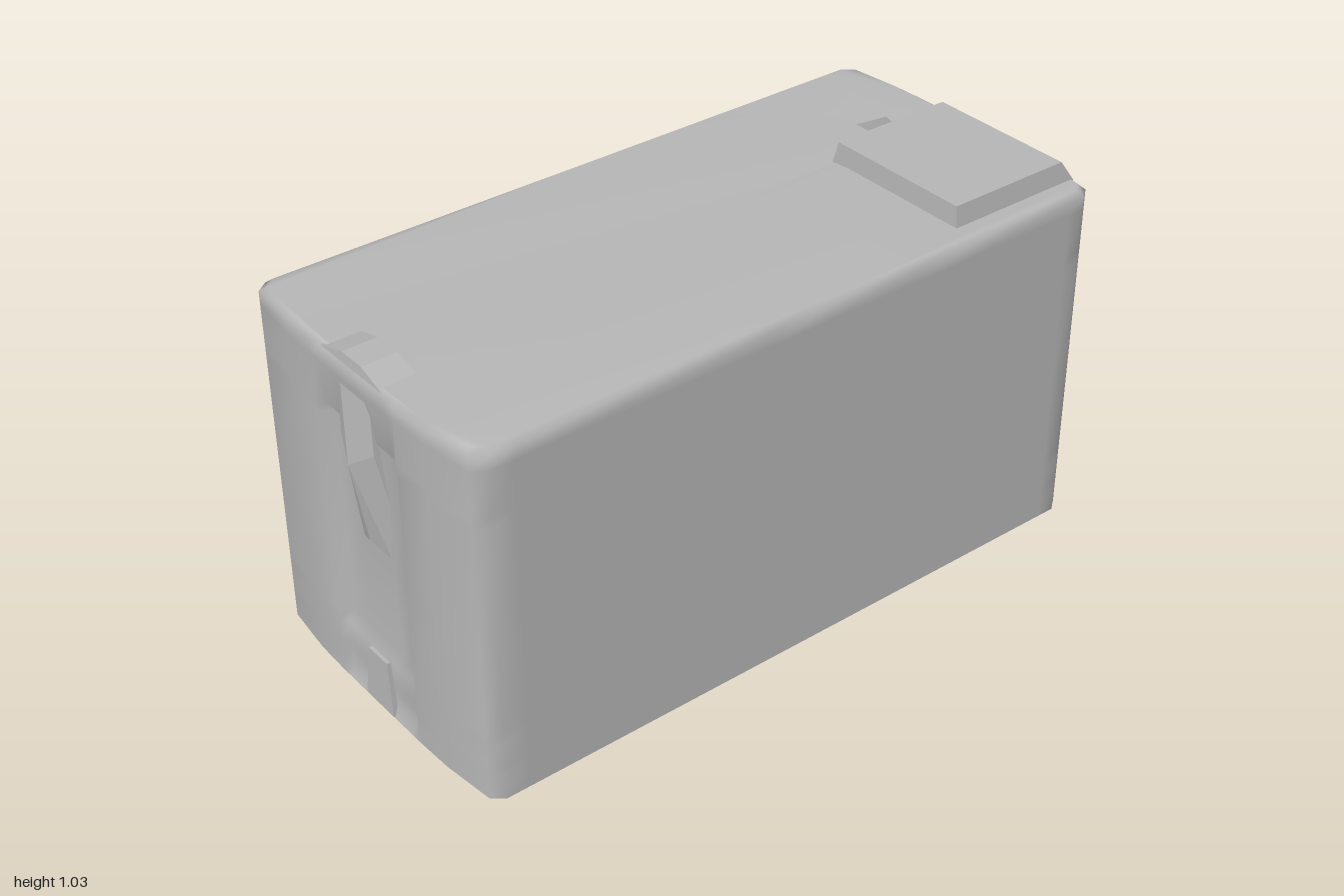
import * as THREE from 'three';
import { mergeVertices } from 'three/addons/utils/BufferGeometryUtils.js';
import { ConvexGeometry } from 'three/addons/geometries/ConvexGeometry.js';

const V = (x, y, z) => new THREE.Vector3(x, y, z);

// Convex solid mirrored or not from a few corner points
function solid(name, points, material) {
  const mesh = new THREE.Mesh(new ConvexGeometry(points.map(p => V(...p))), material);
  mesh.name = name;
  return mesh;
}

// Tapered block: bottom and top rectangles [x0, x1, z0, z1]
function taper(name, y0, b, y1, t, material) {
  const pts = [];
  for (const [y, r] of [[y0, b], [y1, t]])
    for (const x of [r[0], r[1]]) for (const z of [r[2], r[3]]) pts.push([x, y, z]);
  return solid(name, pts, material);
}

export function createModel() {
  const model = new THREE.Group();
  const grey = new THREE.MeshStandardMaterial({ color: 0xb8b8b8, side: THREE.DoubleSide });
  grey.name = 'plain grey';

  // Plan outline, running round the body: front, right wall, back, left wall
  const endXs = [0.43, 0.28, 0.17, 0.14, 0.07, 0, -0.07, -0.14, -0.17, -0.28, -0.43];
  const sideZs = [-0.87, -0.82, -0.45, -0.3, 0.02, 0.14, 0.85, 0.92];
  const endZ = x => 0.972 - 0.11 * Math.max(0, Math.abs(x) - 0.25);
  const plan = [
    ...endXs.map(x => [x, endZ(x), 1]),
    ...[...sideZs].reverse().map(z => [-0.455, z, 0]),
    ...[...endXs].reverse().map(x => [x, 0.05 - endZ(x), -1]),
    ...sideZs.map(z => [0.455, z, 0])
  ];
  const rows = [0.005, 0.04, 0.08, 0.105, 0.17, 0.2, 0.45, 0.78, 0.81, 0.93, 0.965];

  // Shallow sunken door in each end wall
  const relief = (x, y, end) => {
    if (!end || Math.abs(x) > 0.15) return 0;
    return y > 0.18 && y < 0.8 ? -0.03 * end : y > 0.9 || y < 0.02 ? 0 : -0.012 * end;
  };

  // Walls, with small slits low down on one side
  const pos = [], index = [], n = plan.length;
  for (const y of rows) for (const [x, z, end] of plan) pos.push(x, y, z + relief(x, y, end));
  for (let r = 0; r < rows.length - 1; r++) {
    for (let i = 0; i < n; i++) {
      const j = (i + 1) % n, zMid = (plan[i][1] + plan[j][1]) / 2;
      const slit = r === 2 && plan[i][0] < -0.45 && plan[j][0] < -0.45 &&
        ((zMid > -0.45 && zMid < -0.3) || (zMid > 0.02 && zMid < 0.14));
      if (slit) continue;
      const a = r * n + i, b = r * n + j, c = a + n, d = b + n;
      index.push(a, c, b, b, c, d);
    }
  }

  // Narrow bevel up to the roof edge
  const roofRing = plan.map(([x, z]) => [x * 0.96, 0.025 + (z - 0.025) * 0.985]);
  const top = (rows.length - 1) * n, ring = pos.length / 3;
  for (const [x, z] of roofRing) pos.push(x, 0.98, z);
  for (let i = 0; i < n; i++) {
    const j = (i + 1) % n;
    index.push(top + i, ring + i, top + j, top + j, ring + i, ring + j);
  }

  // Roof sheet with one small opening
  const hole = [[-0.16, -0.77], [-0.06, -0.75], [-0.06, -0.68], [-0.175, -0.68]];
  const holeStart = pos.length / 3;
  for (const [x, z] of hole) pos.push(x, 0.975, z);
  const to2 = p => new THREE.Vector2(p[0], -p[1]);
  const tris = THREE.ShapeUtils.triangulateShape(roofRing.map(to2), [hole.map(to2)]);
  const flat = [...roofRing, ...hole].map(to2);
  const vertex = k => (k < n ? ring + k : holeStart + k - n);
  for (const [a, b, c] of tris) {
    const area = flat[b].clone().sub(flat[a]).cross(flat[c].clone().sub(flat[a]));
    index.push(...(area > 0 ? [a, b, c] : [a, c, b]).map(vertex));
  }
  const shell = new THREE.BufferGeometry();
  shell.setAttribute('position', new THREE.Float32BufferAttribute(pos, 3));
  shell.setIndex(index);
  const bodyGeometry = mergeVertices(shell);
  bodyGeometry.computeVertexNormals();
  const body = new THREE.Mesh(bodyGeometry, grey);
  body.name = 'bodyShell';
  model.add(body);

  // Roof unit
  model.add(taper('roofUnit', 0.975, [-0.06, 0.39, -0.9, -0.495], 1.035, [-0.045, 0.38, -0.86, -0.5], grey));

  // Front header, pointed nose and lower bracket
  model.add(taper('frontHeader', 0.975, [-0.13, 0.13, 0.87, 0.968], 1.0, [-0.04, 0.04, 0.87, 0.965], grey));
  model.add(solid('frontNose', [
    [-0.06, 0.95, 0.965], [0.06, 0.95, 0.965], [-0.07, 0.78, 0.97], [0.07, 0.78, 0.97], [0, 0.73, 0.998],
    [-0.08, 0.64, 0.945], [0.08, 0.64, 0.945], [-0.06, 0.47, 0.94], [0.06, 0.47, 0.94], [0, 0.5, 0.96],
    [0, 0.9, 0.94]
  ], grey));
  model.add(taper('frontBracket', 0.01, [-0.06, 0.06, 0.94, 0.975], 0.16, [-0.04, 0.04, 0.94, 0.97], grey));

  // Back knob, lower bracket and coupling tongue
  model.add(solid('backKnob', [
    [-0.05, 0.82, -0.9], [0.05, 0.82, -0.9], [0, 0.74, -0.938], [-0.04, 0.66, -0.89], [0.04, 0.66, -0.89]
  ], grey));
  model.add(taper('backBracket', 0.02, [-0.06, 0.06, -0.925, -0.89], 0.16, [-0.05, 0.05, -0.92, -0.89], grey));
  model.add(solid('couplingTongue', [
    [-0.065, 0.035, -0.91], [0.065, 0.035, -0.91], [-0.065, 0.01, -0.91], [0.065, 0.01, -0.91],
    [-0.08, 0.012, -1.0], [0.07, 0.012, -1.0]
  ], grey));

  return model;
}
